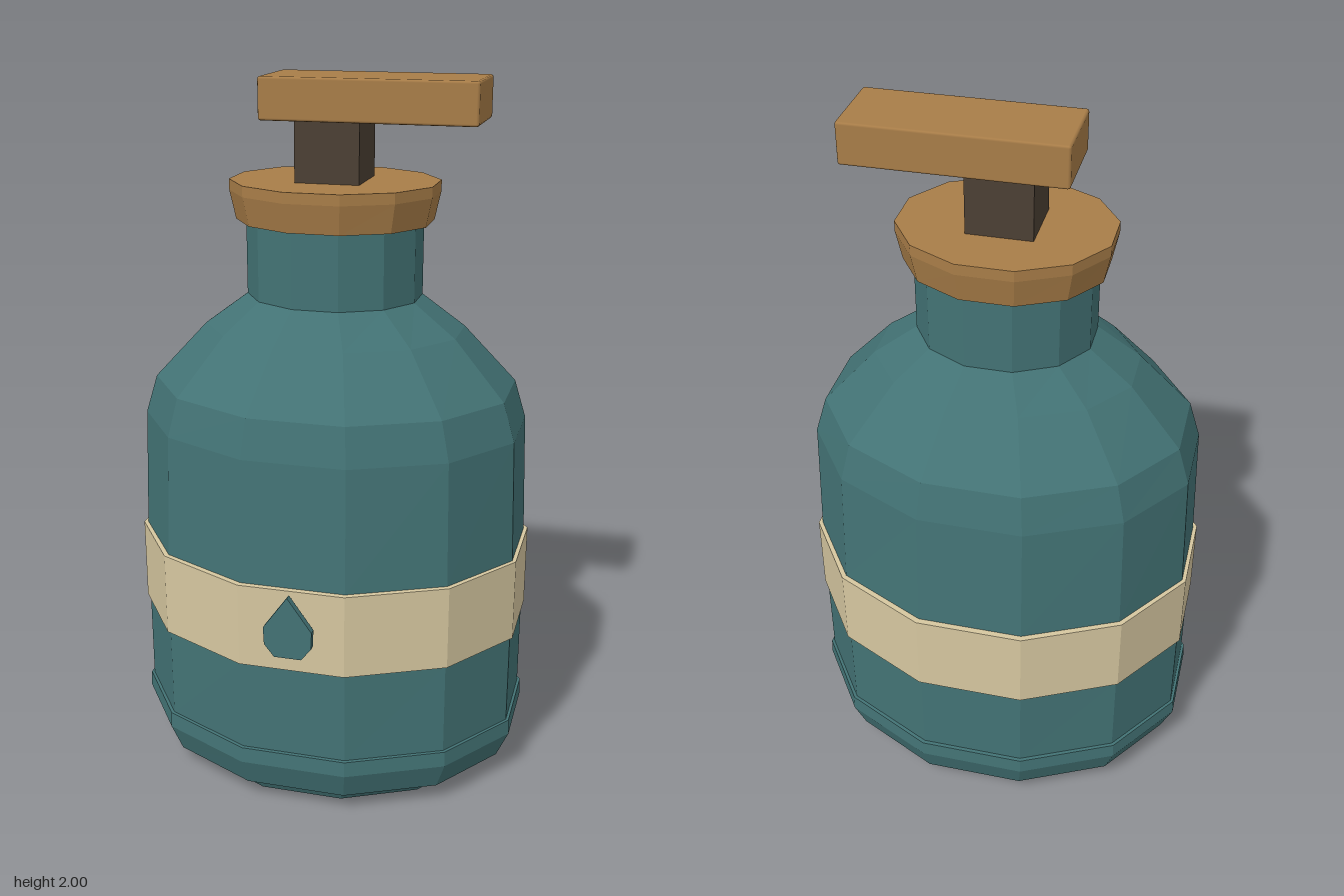
import * as THREE from 'three';
import { RoundedBoxGeometry } from 'three/addons/geometries/RoundedBoxGeometry.js';

const SIDES = 12;
const CENTRE_Z = -0.016;
const FLAT = Math.cos(Math.PI / SIDES); // corner radius to flat half-width

// Faceted oval loft through sections [y, halfWidth, halfDepth]; caps close the ends
function loft(sections, caps = true) {
  const point = ([y, hx, hz], i) => {
    const a = ((i + 0.5) / SIDES) * Math.PI * 2;
    return [(Math.cos(a) * hx) / FLAT, y, (Math.sin(a) * hz) / FLAT];
  };
  const positions = [];
  const tri = (...corners) => corners.forEach((c) => positions.push(...c));
  const first = sections[0];
  const last = sections[sections.length - 1];
  for (let i = 0; i < SIDES; i++) {
    for (let s = 0; s < sections.length - 1; s++) {
      const a = point(sections[s], i), b = point(sections[s], i + 1);
      const c = point(sections[s + 1], i), d = point(sections[s + 1], i + 1);
      tri(a, c, b);
      tri(b, c, d);
    }
    if (caps) {
      tri([0, first[0], 0], point(first, i), point(first, i + 1));
      tri([0, last[0], 0], point(last, i + 1), point(last, i));
    }
  }
  const geometry = new THREE.BufferGeometry();
  geometry.setAttribute('position', new THREE.Float32BufferAttribute(positions, 3));
  geometry.computeVertexNormals(); // unshared corners give flat facets
  return geometry;
}

function material(name, color) {
  const m = new THREE.MeshStandardMaterial({ color });
  m.name = name;
  return m;
}

export function createModel() {
  const teal = material('teal glaze', 0x437375);
  const cream = material('cream label', 0xd6c7a0);
  const wood = material('warm wood', 0xa87d48);
  const dark = material('dark stem', 0x4c4034);

  const model = new THREE.Group();
  model.name = 'soapDispenser';
  const add = (name, geometry, mat, x = 0, y = 0, z = CENTRE_Z) => {
    const mesh = new THREE.Mesh(geometry, mat);
    mesh.name = name;
    mesh.position.set(x, y, z);
    model.add(mesh);
  };

  // Bottle: foot, straight wall, sloping shoulder and neck
  add('bottle', loft([
    [0, 0.44, 0.378],
    [0.06, 0.49, 0.41],
    [0.18, 0.552, 0.455],
    [0.45, 0.552, 0.457],
    [0.69, 0.549, 0.452],
    [1.04, 0.538, 0.435],
    [1.15, 0.505, 0.412],
    [1.31, 0.36, 0.285],
    [1.4, 0.24, 0.214],
    [1.64, 0.24, 0.214],
  ]), teal);

  // Raised ring around the base
  add('baseRing', loft([
    [0.055, 0.47, 0.39],
    [0.055, 0.527, 0.44],
    [0.135, 0.562, 0.468],
    [0.18, 0.56, 0.466],
    [0.18, 0.53, 0.435],
  ], false), teal);

  // Label band
  add('labelBand', loft([
    [0.45, 0.53, 0.435],
    [0.45, 0.56, 0.469],
    [0.69, 0.56, 0.469],
    [0.69, 0.53, 0.435],
  ], false), cream);

  // Droplet badge in front of the band
  const half = [[0.038, 0.505], [0.066, 0.54], [0.068, 0.59]];
  const outline = [
    ...half,
    [0, 0.685],
    ...half.map(([x, y]) => [-x, y]).reverse(),
  ].map(([x, y]) => new THREE.Vector2(x, y));
  add('dropletBadge', new THREE.ExtrudeGeometry(new THREE.Shape(outline), {
    depth: 0.02, bevelEnabled: false,
  }), teal, 0, 0, 0.466);

  // Collar, pump stem and nozzle
  add('collar', loft([
    [1.61, 0.268, 0.23],
    [1.69, 0.285, 0.246],
    [1.72, 0.285, 0.246],
  ]), wood);
  add('pumpStem', new THREE.BoxGeometry(0.18, 0.2, 0.18), dark, 0, 1.8);
  add('nozzle', new RoundedBoxGeometry(0.595, 0.115, 0.23, 1, 0.007), wood, 0.113, 1.9425);

  return model;
}
